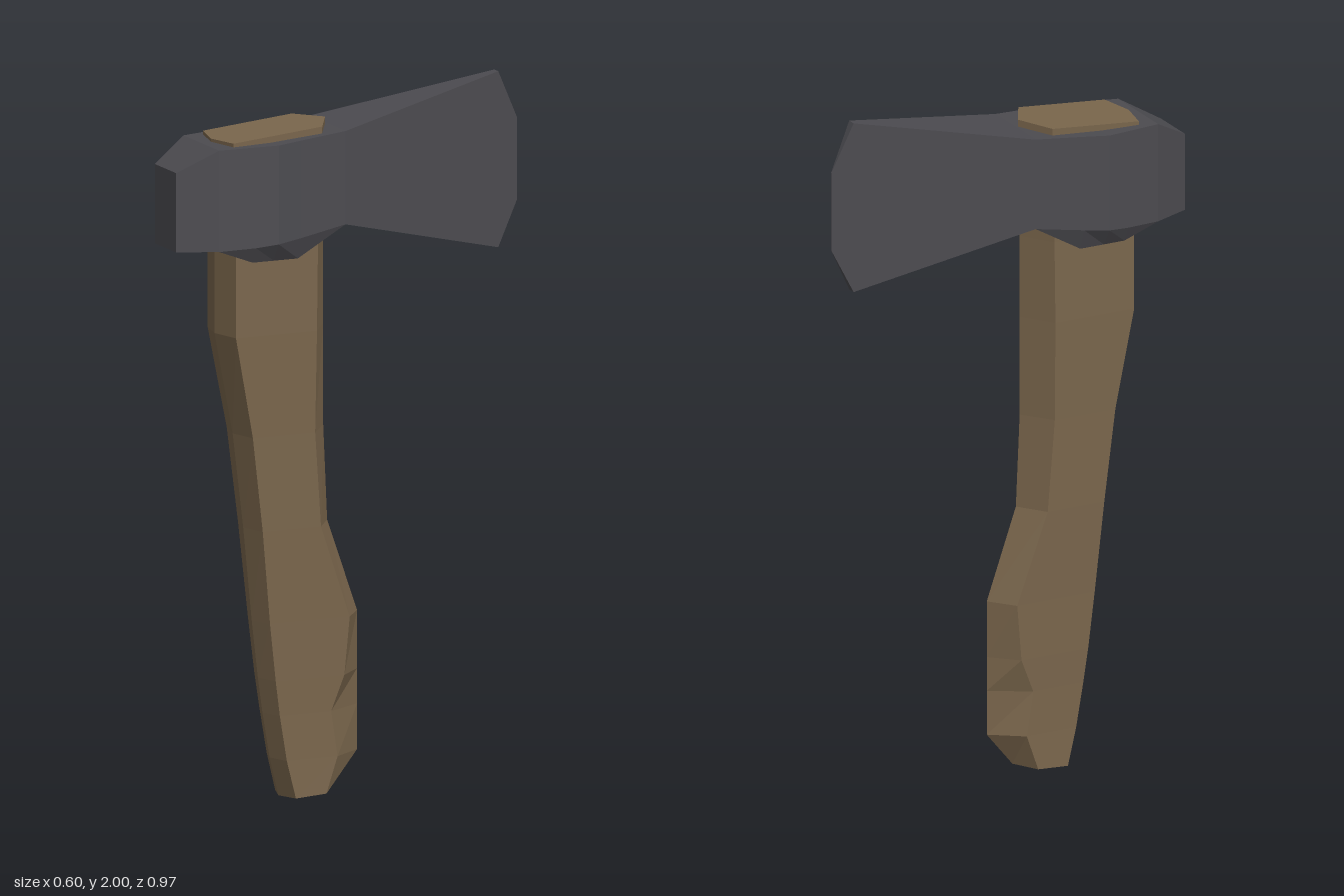
import * as THREE from 'three';

// Skin a row of equal-sized rings (counter-clockwise seen from the last one) and cap both ends.
function loft(rings) {
  const pos = [];
  const tri = (a, b, c) => {
    const area = b.clone().sub(a).cross(c.clone().sub(a)).length();
    if (area > 1e-7) for (const p of [a, b, c]) pos.push(p.x, p.y, p.z);
  };
  const n = rings[0].length;
  for (let i = 0; i < rings.length - 1; i++) {
    for (let j = 0; j < n; j++) {
      const k = (j + 1) % n;
      tri(rings[i][j], rings[i][k], rings[i + 1][k]);
      tri(rings[i][j], rings[i + 1][k], rings[i + 1][j]);
    }
  }
  const first = rings[0], last = rings[rings.length - 1];
  for (let j = 1; j < n - 1; j++) {
    tri(first[0], first[j + 1], first[j]);
    tri(last[0], last[j], last[j + 1]);
  }
  const geo = new THREE.BufferGeometry();
  geo.setAttribute('position', new THREE.Float32BufferAttribute(pos, 3));
  geo.computeVertexNormals();
  return geo;
}

const v = (x, y, z) => new THREE.Vector3(x, y, z);

function part(name, geometry, material) {
  const mesh = new THREE.Mesh(geometry, material);
  mesh.name = name;
  return mesh;
}

export function createModel() {
  const wood = new THREE.MeshStandardMaterial({ color: 0x7a664c, flatShading: true });
  wood.name = 'wood';
  const steel = new THREE.MeshStandardMaterial({ color: 0x4c4b50, flatShading: true });
  steel.name = 'dark steel';

  // Built with the blade along local +x, then turned.
  const axe = new THREE.Group();
  axe.name = 'axe';

  // Handle: hexagonal sections
  // [height, front corner, back corner, back ridge, half width, rise of back]
  const handle = [
    [0, -0.141, -0.047, -0.002, 0.068, 0.01],
    [0.11, -0.168, -0.012, 0.079, 0.066, 0],
    [0.24, -0.19, -0.032, 0.079, 0.067, 0],
    [0.34, -0.204, 0.007, 0.079, 0.07, 0],
    [0.505, -0.223, 0.022, 0.079, 0.073, 0],
    [0.77, -0.249, -0.07, -0.013, 0.081, 0],
    [1.04, -0.2815, -0.09, -0.025, 0.0855, 0],
    [1.33, -0.337, -0.088, -0.025, 0.093, 0],
    [1.57, -0.337, -0.085, -0.025, 0.093, 0],
    [1.883, -0.348, -0.075, -0.019, 0.1, 0.032],
  ];
  const handleRings = handle.map(([y, front, back, ridge, h, rise]) => {
    const nose = front - 0.022;
    const at = (x, z) => v(x, y + rise * (x - nose) / (ridge - nose), z);
    return [at(ridge, 0), at(back, -h), at(front, -h), at(nose, 0), at(front, h), at(back, h)];
  });
  axe.add(part('handle', loft(handleRings), wood));

  // Head: sections from the poll to the cutting edge
  // [along, half width, top, side bottom, keel half width, keel bottom]
  const head = [
    [-0.51, 0.07, 1.81, 1.585, 0.07, 1.585],
    [-0.4, 0.117, 1.873, 1.585, 0.117, 1.585],
    [-0.295, 0.135, 1.876, 1.59, 0.113, 1.545],
    [-0.23, 0.146, 1.878, 1.597, 0.113, 1.545],
    [-0.156, 0.136, 1.884, 1.607, 0.113, 1.545],
    [-0.012, 0.118, 1.895, 1.63, 0.118, 1.63],
    [0.507, 0.013, 2.0, 1.5, 0.013, 1.5],
    [0.571, 0.001, 1.86, 1.63, 0.001, 1.63],
  ];
  const headRings = head.map(([x, h, top, low, kh, keel]) => [
    v(x, keel, -kh), v(x, low, -h), v(x, top, -h),
    v(x, top, h), v(x, low, h), v(x, keel, kh),
  ]);
  axe.add(part('head', loft(headRings), steel));

  axe.rotation.y = Math.PI / 3;
  axe.position.set(0.0147, 0, 0.0085);

  const model = new THREE.Group();
  model.name = 'hatchet';
  model.add(axe);
  return model;
}
